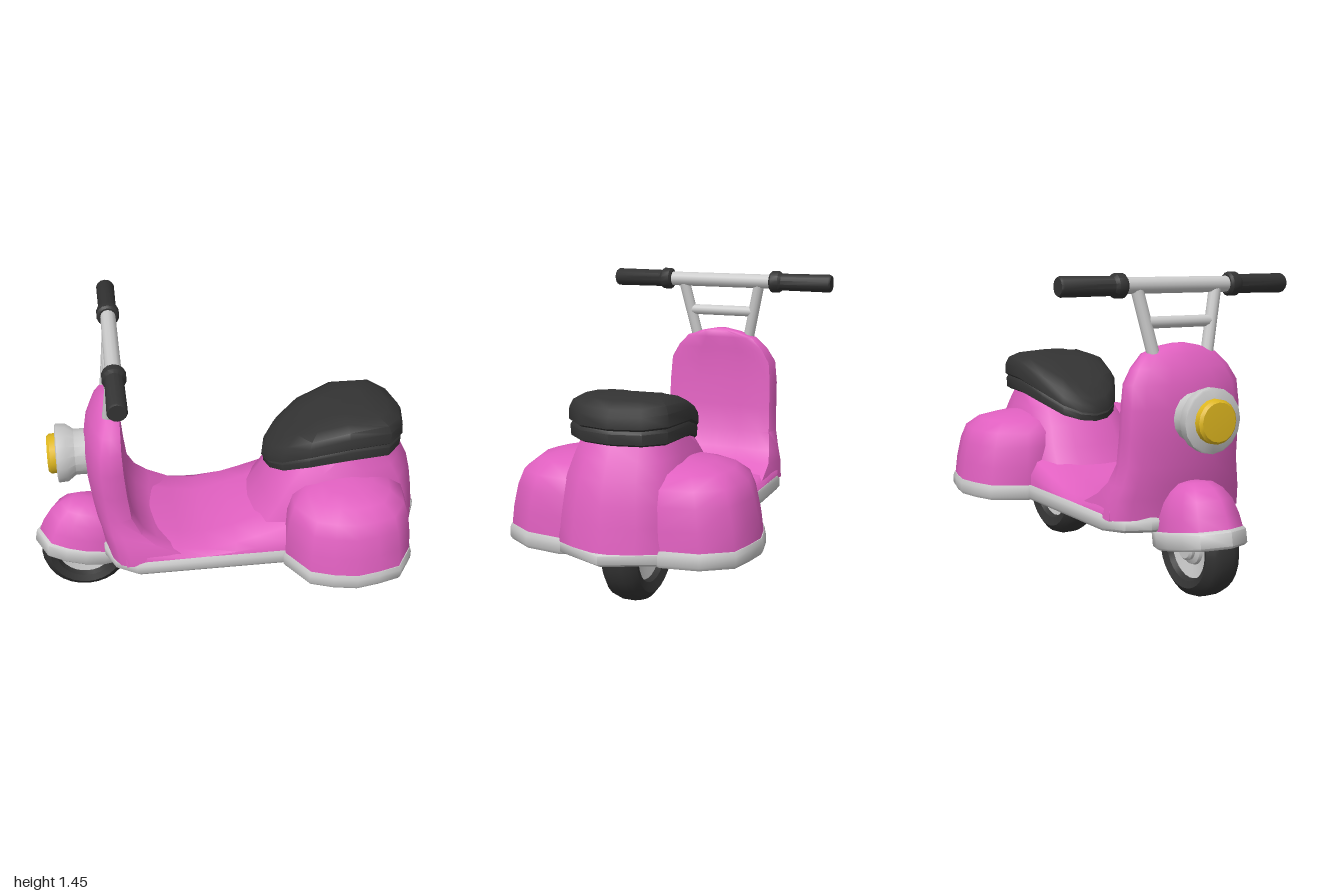
import * as THREE from 'three';
import { toCreasedNormals } from 'three/addons/utils/BufferGeometryUtils.js';

const mat = (color) => new THREE.MeshStandardMaterial({ color });
const pink = mat(0xe060c0), grey = mat(0xcccccc), black = mat(0x333333), yellow = mat(0xe0b820);

// Skin over closed rings of [x, y, z] points, capped at both ends
function loft(rings, crease = 0.8) {
  const n = rings[0].length, pos = rings.flat(2), idx = [];
  for (let r = 0; r < rings.length - 1; r++) {
    for (let i = 0; i < n; i++) {
      const a = r * n + i, b = r * n + (i + 1) % n;
      idx.push(a, a + n, b, b, a + n, b + n);
    }
  }
  [0, rings.length - 1].forEach((r, end) => {
    const c = pos.length / 3;
    for (let k = 0; k < 3; k++) pos.push(rings[r].reduce((s, p) => s + p[k], 0) / n);
    for (let i = 0; i < n; i++) {
      const a = r * n + i, b = r * n + (i + 1) % n;
      if (end) idx.push(c, b, a); else idx.push(c, a, b);
    }
  });
  // turn the faces outwards if the enclosed volume is negative
  const v = (i) => new THREE.Vector3(...pos.slice(i * 3, i * 3 + 3));
  let volume = 0;
  for (let i = 0; i < idx.length; i += 3) volume += v(idx[i]).dot(v(idx[i + 1]).cross(v(idx[i + 2])));
  if (volume < 0) idx.reverse();
  const g = new THREE.BufferGeometry();
  g.setAttribute('position', new THREE.Float32BufferAttribute(pos, 3));
  g.setIndex(idx);
  return toCreasedNormals(g, crease);
}

// Full outline from one half that starts and ends on z = 0
const mirror = (half) => [...half, ...half.slice(1, -1).reverse().map(([x, z]) => [x, -z])];
// Outline scaled about (cx, cz) and set at height y
const ring = (o, y, s = 1, cx = 0, cz = 0, sz = s) =>
  o.map(([x, z]) => [cx + (x - cx) * s, y, cz + (z - cz) * sz]);
// Straight-line interpolation in a table of [x, y]
function lerpTable(t, x) {
  let i = 1;
  while (i < t.length - 1 && x > t[i][0]) i++;
  const [a, b] = [t[i - 1], t[i]];
  return a[1] + (b[1] - a[1]) * THREE.MathUtils.clamp((x - a[0]) / (b[0] - a[0]), 0, 1);
}
function rod(a, b, r, sides = 12) {
  const p = new THREE.Vector3(...a), q = new THREE.Vector3(...b), d = q.clone().sub(p);
  const g = new THREE.CylinderGeometry(r, r, d.length(), sides);
  g.applyQuaternion(new THREE.Quaternion().setFromUnitVectors(new THREE.Vector3(0, 1, 0), d.normalize()));
  const m = p.add(q).multiplyScalar(0.5);
  return g.translate(m.x, m.y, m.z);
}
const lathe = (pts, seg, crease = 0.7) => toCreasedNormals(
  new THREE.LatheGeometry(pts.map(([r, y]) => new THREE.Vector2(r, y)), seg), crease);

export function createModel() {
  const model = new THREE.Group();
  const add = (name, geo, m, parent = model) => {
    const mesh = new THREE.Mesh(geo, m);
    mesh.name = name;
    parent.add(mesh);
    return mesh;
  };

  // Wheels: tyre, dished rim and hub on the z axis
  for (const [name, x, r] of [['frontWheel', -0.75, 0.225], ['rearWheel', 0.56, 0.263]]) {
    const w = new THREE.Group();
    w.name = name;
    w.position.set(x, r, 0);
    w.rotation.x = Math.PI / 2;
    const k = r * 0.62;
    add('tyre', lathe([[k, -0.05], [k + 0.01, -0.075], [r - 0.045, -0.09], [r - 0.012, -0.065], [r, -0.03],
      [r, 0.03], [r - 0.012, 0.065], [r - 0.045, 0.09], [k + 0.01, 0.075], [k, 0.05]], 28), black, w);
    add('rim', lathe([[0, -0.085], [0.045, -0.085], [0.055, -0.075], [0.055, -0.06], [0.075, -0.05], [0.08, -0.035],
      [k + 0.005, -0.05], [k + 0.005, 0.05], [0.08, 0.035], [0.075, 0.05], [0.055, 0.06], [0.055, 0.075],
      [0.045, 0.085], [0, 0.085]], 24), grey, w);
    model.add(w);
  }

  // Grey band with rounded edges and a pink underside
  const band = (name, o, y0, y1, cx, cz, parent) => {
    const h = y1 - y0;
    add(name, loft([ring(o, y0 + 0.004, 0.93, cx, cz), ring(o, y0 + 0.004, 0.97, cx, cz), ring(o, y0 + h * 0.25, 1, cx, cz),
      ring(o, y0 + h * 0.75, 1, cx, cz), ring(o, y1, 0.975, cx, cz)], 1), grey, parent);
    add(name + 'Underside', loft([ring(o, y0, 0.88, cx, cz), ring(o, y0 + 0.02, 0.88, cx, cz)]), pink, parent);
  };

  // Floor board
  const deck = mirror([[-0.665, 0], [-0.65, 0.19], [-0.6, 0.3], [-0.5, 0.362], [0.25, 0.365], [0.6, 0.3],
    [0.89, 0.24], [0.995, 0]]);
  band('deckBand', deck, 0.28, 0.36, 0.1, 0);
  const floorTop = [[-0.55, 0.47], [-0.4, 0.44], [-0.28, 0.41], [-0.15, 0.39], [0, 0.425], [0.1, 0.46], [0.25, 0.52]];
  add('floor', loft(floorTop.map(([x, h]) => {
    const d = h - 0.34;
    return [[0.355, 0], [0.35, 0.4], [0.31, 0.75], [0.18, 0.95], [0, 1], [-0.18, 0.95], [-0.31, 0.75],
      [-0.35, 0.4], [-0.355, 0]].map(([z, t]) => [x, 0.34 + d * t, z]);
  }), 1), pink);

  // Leg shield: [y, front x, back x, half width]
  add('legShield', loft([[0.345, -0.655, -0.2, 0.36], [0.44, -0.67, -0.39, 0.352], [0.5, -0.685, -0.455, 0.335],
    [0.59, -0.7, -0.5, 0.315], [0.72, -0.715, -0.515, 0.31], [0.85, -0.72, -0.525, 0.308], [0.96, -0.705, -0.53, 0.298],
    [1.03, -0.68, -0.53, 0.255], [1.09, -0.645, -0.53, 0.195], [1.12, -0.62, -0.535, 0.11], [1.135, -0.6, -0.56, 0.03],
  ].map(([y, f, b, w]) => {
    const d = Math.min(b - f, 0.2);
    return mirror([[f, 0], [f + d * 0.06, w * 0.4], [f + d * 0.22, w * 0.78], [f + d * 0.4, w * 0.95],
      [f + d * 0.65, w], [b - d * 0.05, w * 0.93], [b, w * 0.75], [b - d * 0.06, w * 0.4], [b - d * 0.08, 0]])
      .map(([x, z]) => [x, y, z]);
  }), 1), pink);

  // Rear body under the seat: [y, front x, back x, half width]
  add('rearBody', loft([[0.345, 0.02, 0.985, 0.3], [0.46, 0.1, 0.97, 0.3], [0.55, 0.16, 0.955, 0.29],
    [0.65, 0.215, 0.93, 0.27], [0.73, 0.28, 0.89, 0.25], [0.8, 0.36, 0.85, 0.23],
  ].map(([y, f, b, w]) => mirror([[f, 0], [f + 0.015, w * 0.45], [f + 0.06, w * 0.8], [f + 0.16, w],
    [b - 0.25, w], [b - 0.1, w * 0.82], [b - 0.05, w * 0.5], [b, 0]]).map(([x, z]) => [x, y, z])), 1), pink);

  // Side pods on both sides
  const pod = [[0.28, 0.15], [0.235, 0.27], [0.23, 0.38], [0.33, 0.54], [0.44, 0.582], [0.555, 0.605], [0.67, 0.585],
    [0.78, 0.555], [0.87, 0.42], [0.895, 0.24], [0.84, 0.15]];
  for (const side of [1, -1]) {
    const o = pod.map(([x, z]) => [x, z * side]);
    const g = new THREE.Group();
    g.name = side > 0 ? 'leftPod' : 'rightPod';
    band('podBand', o, 0.28, 0.36, 0.56, 0.3 * side, g);
    add('podShell', loft([[0.345, 0.97, 0.98], [0.45, 0.955, 0.95], [0.55, 0.915, 0.9], [0.62, 0.84, 0.84],
      [0.67, 0.64, 0.7], [0.695, 0.4, 0.5], [0.71, 0.1, 0.2]].map(([y, s, sz]) => ring(o, y, s, 0.56, 0.15 * side, sz)), 1), pink, g);
    model.add(g);
  }

  // Front mudguard, tilted
  const guard = new THREE.Group();
  guard.name = 'frontMudguard';
  guard.position.set(-0.75, 0.265, 0);
  guard.rotation.z = -0.19;
  const fo = mirror([[-0.252, 0], [-0.19, 0.125], [-0.1, 0.16], [0, 0.175], [0.1, 0.168], [0.2, 0.125], [0.255, 0]]);
  add('mudguardBand', loft([ring(fo, -0.042, 0.94), ring(fo, -0.03), ring(fo, 0.03), ring(fo, 0.042, 0.95)], 1), grey, guard);
  add('mudguardDome', loft([ring(fo, 0.03, 0.95), ring(fo, 0.1, 0.89), ring(fo, 0.17, 0.78), ring(fo, 0.22, 0.6),
    ring(fo, 0.25, 0.4), ring(fo, 0.26, 0.1)], 1), pink, guard);
  model.add(guard);

  // Seat: two cushion layers bent along the body line
  const seatOut = mirror([[0.17, 0], [0.19, 0.08], [0.25, 0.155], [0.37, 0.225], [0.56, 0.263], [0.77, 0.24],
    [0.85, 0.15], [0.88, 0]]);
  const low = [[0.17, 0.66], [0.25, 0.69], [0.4, 0.76], [0.56, 0.795], [0.88, 0.795]];
  const high = [[0.17, 0.78], [0.3, 0.88], [0.48, 0.97], [0.68, 1.01], [0.88, 0.98]];
  add('seat', loft([[0, 0.9], [0.06, 0.97], [0.3, 0.98], [0.37, 0.95], [0.43, 1], [0.7, 0.99], [0.86, 0.93],
    [0.96, 0.75], [1, 0.4]].map(([t, s]) => ring(seatOut, 0, s, 0.56).map(([x, , z]) =>
    [x, lerpTable(low, x) * (1 - t) + lerpTable(high, x) * t, z])), 0.75), black);

  // Headlight pointing forward
  const lamp = new THREE.Group();
  lamp.name = 'headlight';
  lamp.position.set(-0.85, 0.81, 0);
  lamp.rotation.z = Math.PI / 2;
  add('lampHousing', lathe([[0, -0.17], [0.115, -0.17], [0.115, -0.09], [0.145, -0.05], [0.148, -0.005],
    [0.14, 0], [0, 0]], 16), grey, lamp);
  add('lampLens', lathe([[0.1, -0.01], [0.1, 0.03], [0.088, 0.043], [0, 0.047]], 16), yellow, lamp);
  model.add(lamp);

  // Handlebar with struts, crossbar and grips
  const bars = new THREE.Group();
  bars.name = 'handlebar';
  add('bar', rod([-0.55, 1.395, -0.31], [-0.55, 1.395, 0.31], 0.037), grey, bars);
  add('crossbar', rod([-0.57, 1.23, -0.18], [-0.57, 1.23, 0.18], 0.027), grey, bars);
  for (const s of [1, -1]) {
    add('strut', rod([-0.588, 1.08, 0.145 * s], [-0.553, 1.38, 0.213 * s], 0.029), grey, bars);
    const grip = add('grip', lathe([[0, 0], [0.045, 0], [0.056, 0.01], [0.056, 0.05], [0.044, 0.065],
      [0.046, 0.32], [0.04, 0.33], [0, 0.33]], 14), black, bars);
    grip.position.set(-0.55, 1.395, 0.277 * s);
    grip.rotation.x = s * Math.PI / 2;
  }
  model.add(bars);
  return model;
}
